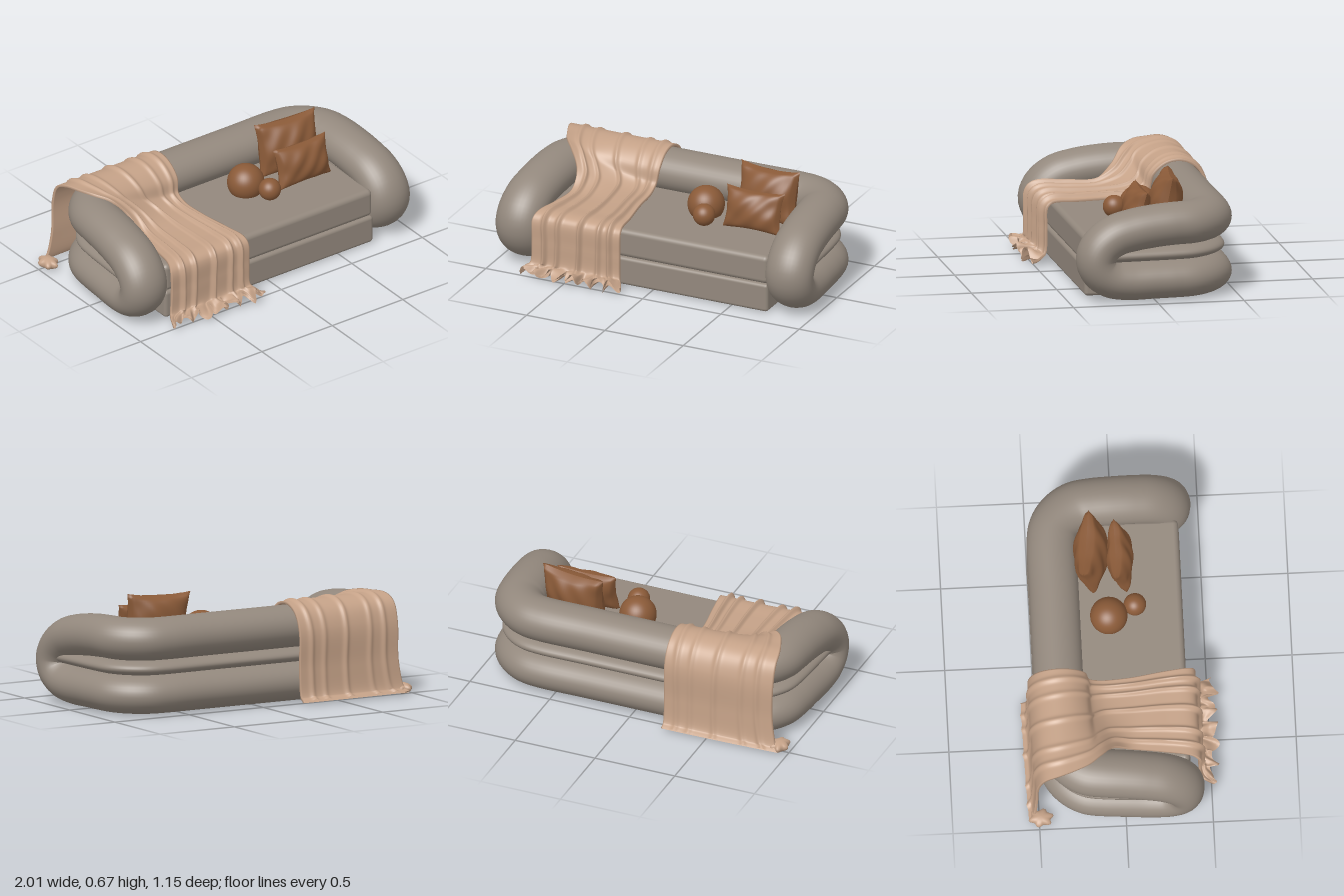
import * as THREE from 'three';
import { RoundedBoxGeometry } from 'three/addons/geometries/RoundedBoxGeometry.js';

const V = (x, y, z) => new THREE.Vector3(x, y, z);
const mat = (name, color) => new THREE.MeshStandardMaterial({ name, color });

// Skin over a list of closed rings; optionally join the last ring to the first
function loft(rings, closed) {
  const n = rings[0].length, m = rings.length, index = [];
  for (let i = 0; i < (closed ? m : m - 1); i++) {
    for (let j = 0; j < n; j++) {
      const a = i * n + j, b = i * n + (j + 1) % n;
      const c = ((i + 1) % m) * n + j, d = ((i + 1) % m) * n + (j + 1) % n;
      index.push(a, c, b, b, c, d);
    }
  }
  const g = new THREE.BufferGeometry().setFromPoints(rings.flat());
  g.setIndex(index);
  g.computeVertexNormals();
  return g;
}

// Outward horizontal direction of the rounded U plan
function outward(p) {
  const s = Math.sign(p.x) || 1, cx = 0.6, cz = -0.13;
  if (p.z >= cz) return V(s, 0, 0);
  if (Math.abs(p.x) <= cx) return V(0, 0, -1);
  return V(p.x - s * cx, 0, p.z - cz).normalize();
}

// Oval padded roll swept along a curve
function roll(curve, steps, closed, halfWidth, halfHeight) {
  const rings = [], sides = 36;
  for (let i = 0; i < (closed ? steps : steps + 1); i++) {
    const p = curve.getPointAt(i / steps), t = curve.getTangentAt(i / steps);
    const side = outward(p), up = t.clone().cross(side).normalize();
    const ring = [];
    for (let j = 0; j < sides; j++) {
      const a = -j / sides * Math.PI * 2;
      ring.push(p.clone().addScaledVector(side, halfWidth * Math.cos(a))
        .addScaledVector(up, halfHeight(p) * Math.sin(a)));
    }
    rings.push(ring);
  }
  return loft(rings, closed);
}

// Plan of one back corner, from the back centre to the start of the arm
const corner = [[0.3, -0.357], [0.6, -0.357], [0.687, -0.341], [0.761, -0.291], [0.811, -0.217], [0.828, -0.13]];
const mirror = pts => pts.map(p => V(-p.x, p.y, p.z)).reverse();

function frameCurve() {
  const arm = [[0, 0.424], [0.12, 0.406], [0.23, 0.375], [0.31, 0.315], [0.34, 0.245],
    [0.315, 0.175], [0.25, 0.13], [0.15, 0.113], [0, 0.113]];
  const right = [
    ...corner.map(([x, z]) => V(x, 0.433, z)),
    ...arm.map(([z, y]) => V(0.838 + 0.07 * z, y, z)),
    ...corner.map(([x, z]) => V(x, 0.113, z)).reverse(),
  ];
  return new THREE.CatmullRomCurve3([V(0, 0.433, -0.357), ...right, V(0, 0.113, -0.357), ...mirror(right)], true);
}

function middleCurve() {
  const right = [...corner, [0.84, 0.05], [0.85, 0.25]].map(([x, z]) => V(x, 0.268, z));
  return new THREE.CatmullRomCurve3([...mirror(right), ...right]);
}

// Plump cushion with pinched corners and soft creases
function pillowGeometry(w, h, d, seed) {
  const g = new THREE.BoxGeometry(2, 2, 2, 28, 28, 1), p = g.attributes.position;
  for (let i = 0; i < p.count; i++) {
    const u = p.getX(i), v = p.getY(i), s = Math.sign(p.getZ(i));
    const puff = Math.pow(Math.max(0, (1 - u * u) * (1 - v * v)), 0.42);
    const crease = 1 + 0.07 * Math.sin(7 * u * v + seed) + 0.06 * Math.sin(9 * u - 5 * v + seed * 2);
    p.setXYZ(i, w * u * (1 - 0.09 * (1 - v * v)), h * v * (1 - 0.11 * (1 - u * u)), s * d * puff * crease);
  }
  g.computeVertexNormals();
  return g;
}

// Throw draped from the floor behind, over the back and seat, to the floor in front
function throwGeometry() {
  const left = new THREE.CatmullRomCurve3([
    [-0.95, 0.012, -0.55], [-0.93, 0.035, -0.525], [-0.9, 0.2, -0.505], [-0.9, 0.42, -0.495], [-0.9, 0.53, -0.455],
    [-0.89, 0.567, -0.38], [-0.86, 0.57, -0.29], [-0.82, 0.568, -0.2], [-0.76, 0.545, -0.13], [-0.69, 0.46, -0.06],
    [-0.67, 0.37, 0.04], [-0.69, 0.36, 0.22], [-0.72, 0.36, 0.385], [-0.735, 0.33, 0.425], [-0.735, 0.2, 0.43],
    [-0.745, 0.06, 0.435], [-0.77, 0.03, 0.465], [-0.785, 0.012, 0.5]].map(a => V(...a)));
  const right = new THREE.CatmullRomCurve3([
    [-0.23, 0.012, -0.565], [-0.23, 0.035, -0.535], [-0.23, 0.2, -0.517], [-0.23, 0.42, -0.515], [-0.23, 0.52, -0.465],
    [-0.23, 0.562, -0.38], [-0.23, 0.55, -0.29], [-0.23, 0.485, -0.215], [-0.24, 0.4, -0.19], [-0.24, 0.362, -0.12],
    [-0.23, 0.355, 0.05], [-0.2, 0.355, 0.25], [-0.185, 0.355, 0.385], [-0.18, 0.33, 0.415], [-0.18, 0.2, 0.42],
    [-0.175, 0.06, 0.43], [-0.15, 0.03, 0.475], [-0.135, 0.012, 0.53]].map(a => V(...a)));
  const ridges = [0.13, 0.28, 0.54, 0.77, 0.9];
  const base = (u, t) => {
    const a = left.getPoint(t), b = right.getPoint(t), w = (1 - u) ** 2;
    return V(a.x + (b.x - a.x) * u, b.y + (a.y - b.y) * w, b.z + (a.z - b.z) * w);
  };
  const fold = (u, t) => {
    let f = 0;
    ridges.forEach((r, k) => {
      f += (k % 2 ? 0.8 : 1) * Math.exp(-(((u - r - 0.015 * Math.sin(t * 9 + k)) / 0.024) ** 2));
    });
    return f * (0.012 + 0.016 * THREE.MathUtils.smoothstep(t, 0.4, 0.75));
  };
  const rings = [], rows = 120, cols = 90, e = 0.002;
  for (let i = 0; i <= rows; i++) {
    const t = i / rows, hem = THREE.MathUtils.smoothstep(t, 0.87, 1), outer = [], inner = [];
    for (let j = 0; j <= cols; j++) {
      const u = j / cols, p = base(u, t);
      const dt = base(u, Math.min(1, t + e)).sub(base(u, Math.max(0, t - e)));
      const du = base(Math.min(1, u + e), t).sub(base(Math.max(0, u - e), t));
      const n = dt.cross(du).normalize();
      // Crumpled front hem
      p.z += hem * (0.025 * Math.sin(u * 38) + 0.012 * Math.sin(u * 67 + 1));
      p.y += hem * 0.02 * (1 + Math.sin(u * 52 + t * 30));
      p.x += hem * 0.012 * Math.sin(u * 45 + 2);
      const o = p.clone().addScaledVector(n, 0.014 + fold(u, t));
      o.y = Math.max(o.y, 0.006);
      p.y = Math.max(p.y, 0.002);
      outer.push(o);
      inner.unshift(p);
    }
    rings.push([...outer, ...inner]);
  }
  return loft(rings, false);
}

// Bunched corner of the throw on the floor
function bunchGeometry() {
  const g = new THREE.SphereGeometry(1, 32, 20), p = g.attributes.position;
  for (let i = 0; i < p.count; i++) {
    const x = p.getX(i), y = p.getY(i), z = p.getZ(i);
    const k = 1 + 0.16 * Math.sin(6 * Math.atan2(z, x)) * (1 - y * y);
    p.setXYZ(i, x * k * 0.05, y * 0.032, z * k * 0.065);
  }
  g.computeVertexNormals();
  return g;
}

export function createModel() {
  const model = new THREE.Group();
  model.name = 'sofa';
  const fabric = mat('greyFabric', 0x93887d);
  const brown = mat('brownFabric', 0x8a5a38);
  const blanket = mat('tanBlanket', 0xc4a187);
  blanket.side = THREE.DoubleSide;

  const add = (name, geometry, material, x = 0, y = 0, z = 0) => {
    const mesh = new THREE.Mesh(geometry, material);
    mesh.name = name;
    mesh.position.set(x, y, z);
    model.add(mesh);
    return mesh;
  };

  // Upholstered body
  const height = p => 0.113 + 0.01 * THREE.MathUtils.smoothstep(p.y, 0.12, 0.42);
  add('paddedFrame', roll(frameCurve(), 320, true, 0.143, height), fabric);
  add('middleRoll', roll(middleCurve(), 120, false, 0.1, () => 0.043), fabric);
  add('seatBase', new RoundedBoxGeometry(1.48, 0.172, 0.7, 4, 0.02), fabric, 0, 0.091, 0.033);
  add('seatCushion', new RoundedBoxGeometry(1.48, 0.172, 0.7, 5, 0.03), fabric, 0, 0.262, 0.028);

  // Pillows and balls
  const backPillow = add('backPillow', pillowGeometry(0.2, 0.168, 0.09, 1), brown, 0.5, 0.5, -0.135);
  backPillow.rotation.set(-0.18, -0.12, 0);
  const frontPillow = add('frontPillow', pillowGeometry(0.185, 0.125, 0.07, 3), brown, 0.485, 0.462, 0.032);
  frontPillow.rotation.set(-0.25, 0, 0);
  add('largeBall', new THREE.SphereGeometry(0.108, 40, 28), brown, 0.143, 0.407, -0.048);
  add('smallBall', new THREE.SphereGeometry(0.065, 32, 24), brown, 0.203, 0.41, 0.105);

  // Throw blanket
  add('throwBlanket', throwGeometry(), blanket);
  add('throwCorner', bunchGeometry(), blanket, -0.94, 0.032, -0.49);
  return model;
}
